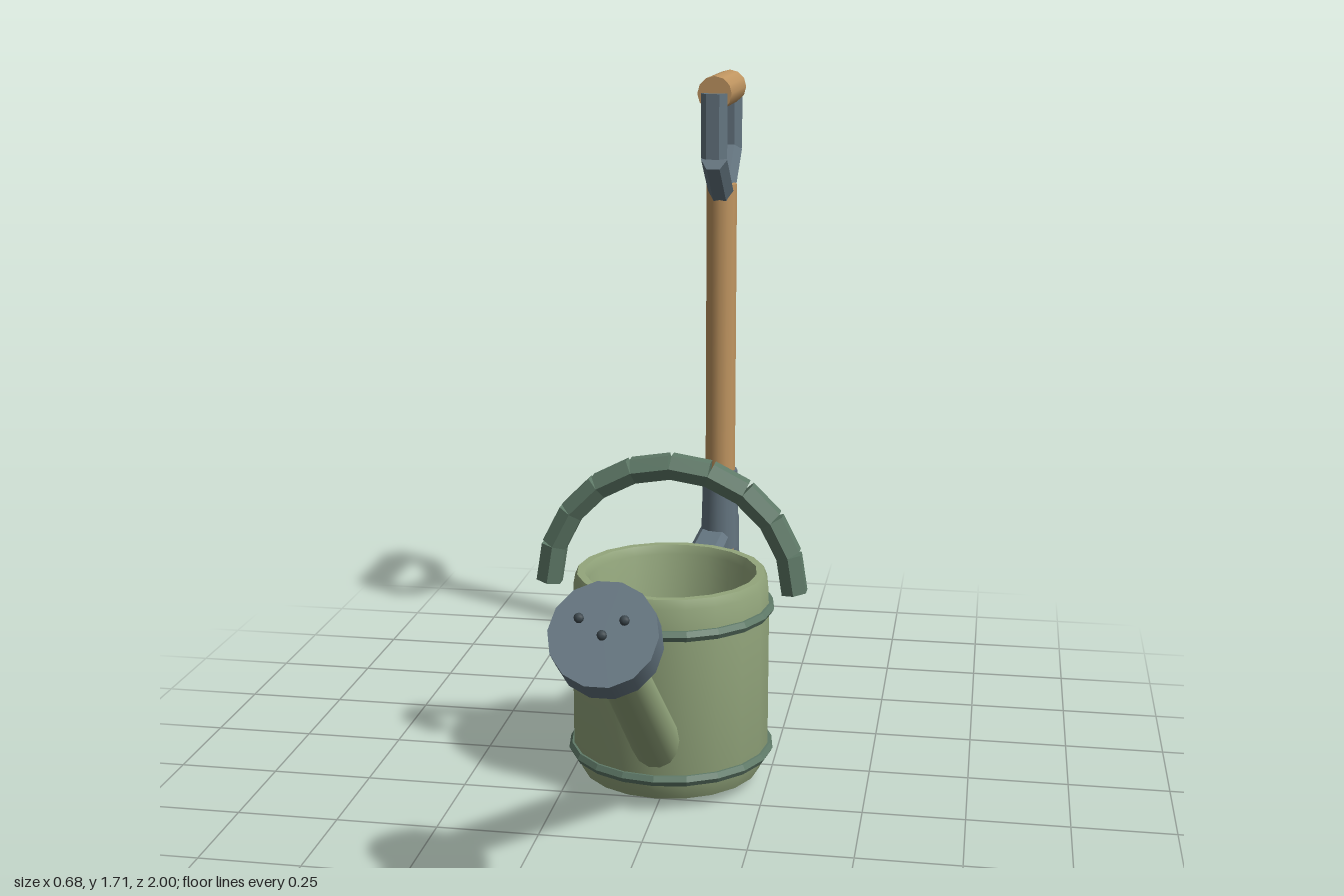
import * as THREE from 'three';
import { toCreasedNormals } from 'three/addons/utils/BufferGeometryUtils.js';

const V = (x, y, z) => new THREE.Vector3(x, y, z);
const mat = (color, extra = {}) => new THREE.MeshStandardMaterial({ color, ...extra });

export function createModel() {
  const model = new THREE.Group();
  const canGreen = mat(0x93a67c);
  const darkGreen = mat(0x5f7a68, { flatShading: true });
  const slate = mat(0x647580);
  const slateFlat = mat(0x647580, { flatShading: true });
  const wood = mat(0xc19661);

  const add = (parent, name, geometry, material) => {
    const mesh = new THREE.Mesh(geometry, material);
    mesh.name = name;
    parent.add(mesh);
    return mesh;
  };
  const group = (name, z) => {
    const g = new THREE.Group();
    g.name = name;
    g.position.z = z;
    model.add(g);
    return g;
  };
  // Cylinder from a to b; one corner of its cross-section points along n
  const rod = (parent, name, a, b, r0, r1, sides, n, material) => {
    const dir = b.clone().sub(a);
    const geo = new THREE.CylinderGeometry(r1, r0, dir.length(), sides);
    const y = dir.normalize();
    const z = n.clone().addScaledVector(y, -n.dot(y)).normalize();
    const x = y.clone().cross(z);
    const mesh = add(parent, name, geo, material);
    mesh.quaternion.setFromRotationMatrix(new THREE.Matrix4().makeBasis(x, y, z));
    mesh.position.copy(a).add(b).multiplyScalar(0.5);
    return mesh;
  };
  const X = V(1, 0, 0), Z = V(0, 0, 1);

  // ---- Watering can (origin on the can's axis) ----
  const can = group('wateringCan', 0.087);

  // Hollow body with a rounded rim
  const profile = [
    [0, 0.03], [0.226, 0.028], [0.236, 0.05], [0.247, 0.09], [0.247, 0.45], [0.244, 0.52],
    [0.235, 0.542], [0.215, 0.542], [0.205, 0.52], [0.205, 0.07], [0, 0.06],
  ].map(([x, y]) => new THREE.Vector2(x, y));
  add(can, 'canBody', toCreasedNormals(new THREE.LatheGeometry(profile, 20), 0.7), canGreen);

  // Bands around the body
  for (const y of [0.085, 0.455]) {
    const band = add(can, 'bodyBand', new THREE.TorusGeometry(0.245, 0.015, 6, 20), darkGreen);
    band.rotation.x = Math.PI / 2;
    band.position.y = y;
  }

  // Carrying handle: ten straight pieces round a half circle
  const arc = (i) => {
    const t = (i / 10) * Math.PI;
    return V(0.31 * Math.cos(t), 0.5 + 0.31 * Math.sin(t), 0);
  };
  for (let i = 0; i < 10; i++) {
    rod(can, 'topHandlePiece', arc(i), arc(i + 1), 0.035, 0.035, 6, Z, darkGreen);
  }

  // Rear handle
  const rear = [V(0, 0.495, -0.22), V(0, 0.43, -0.425), V(0, 0.222, -0.392), V(0, 0.15, -0.22)];
  for (let i = 0; i < 3; i++) {
    rod(can, 'rearHandlePiece', rear[i], rear[i + 1], 0.032, 0.032, 6, X, darkGreen);
  }

  // Spout and sprinkler head
  const axis = V(0, 0.627, 0.779);
  rod(can, 'spout', V(0, 0.125, 0.158), V(0, 0.635, 0.792), 0.062, 0.05, 14, X, canGreen);
  const head = V(0, 0.647, 0.81);
  rod(can, 'sprinklerHead', head.clone().addScaledVector(axis, -0.038),
    head.clone().addScaledVector(axis, 0.038), 0.118, 0.118, 14, X, slate);
  for (const [x, y] of [[-0.048, 0.707], [0, 0.672], [0.048, 0.707]]) {
    add(can, 'sprinklerHole', new THREE.SphereGeometry(0.011, 8, 6), mat(0x3c474d))
      .position.set(x, y, 0.852);
  }

  // ---- Spade (origin on the shaft's axis) ----
  const spade = group('spade', -0.77);

  // Blade: pointed outline, extruded across x with a bevel
  const outline = new THREE.Shape([
    [-0.19, 0.385], [-0.212, 0.145], [0, 0.02], [0.212, 0.145], [0.19, 0.385],
  ].map(([x, y]) => new THREE.Vector2(x, y)));
  const bladeGeo = new THREE.ExtrudeGeometry(outline, {
    depth: 0.06, bevelEnabled: true, bevelThickness: 0.017, bevelSize: 0.017, bevelSegments: 1,
  });
  bladeGeo.translate(0, 0, -0.03).rotateY(Math.PI / 2);
  add(spade, 'blade', bladeGeo, slateFlat).position.x = -0.016;

  // Socket and shaft
  rod(spade, 'socket', V(0, 0.347, 0), V(0, 0.577, 0), 0.056, 0.05, 12, Z, slate);
  rod(spade, 'shaft', V(0, 0.337, 0), V(0, 1.405, 0), 0.043, 0.043, 12, Z, wood);

  // Forked handle, mirrored front to back
  for (const s of [-1, 1]) {
    rod(spade, 'forkArm', V(0, 1.37, 0), V(0, 1.487, s * 0.152), 0.036, 0.036, 6, X, slateFlat);
    rod(spade, 'forkUpright', V(0, 1.49, s * 0.152), V(0, 1.665, s * 0.152), 0.036, 0.036, 6, X, slateFlat);
  }
  rod(spade, 'grip', V(0, 1.664, -0.15), V(0, 1.664, 0.15), 0.047, 0.047, 12, V(0, 1, 0), wood);

  return model;
}
